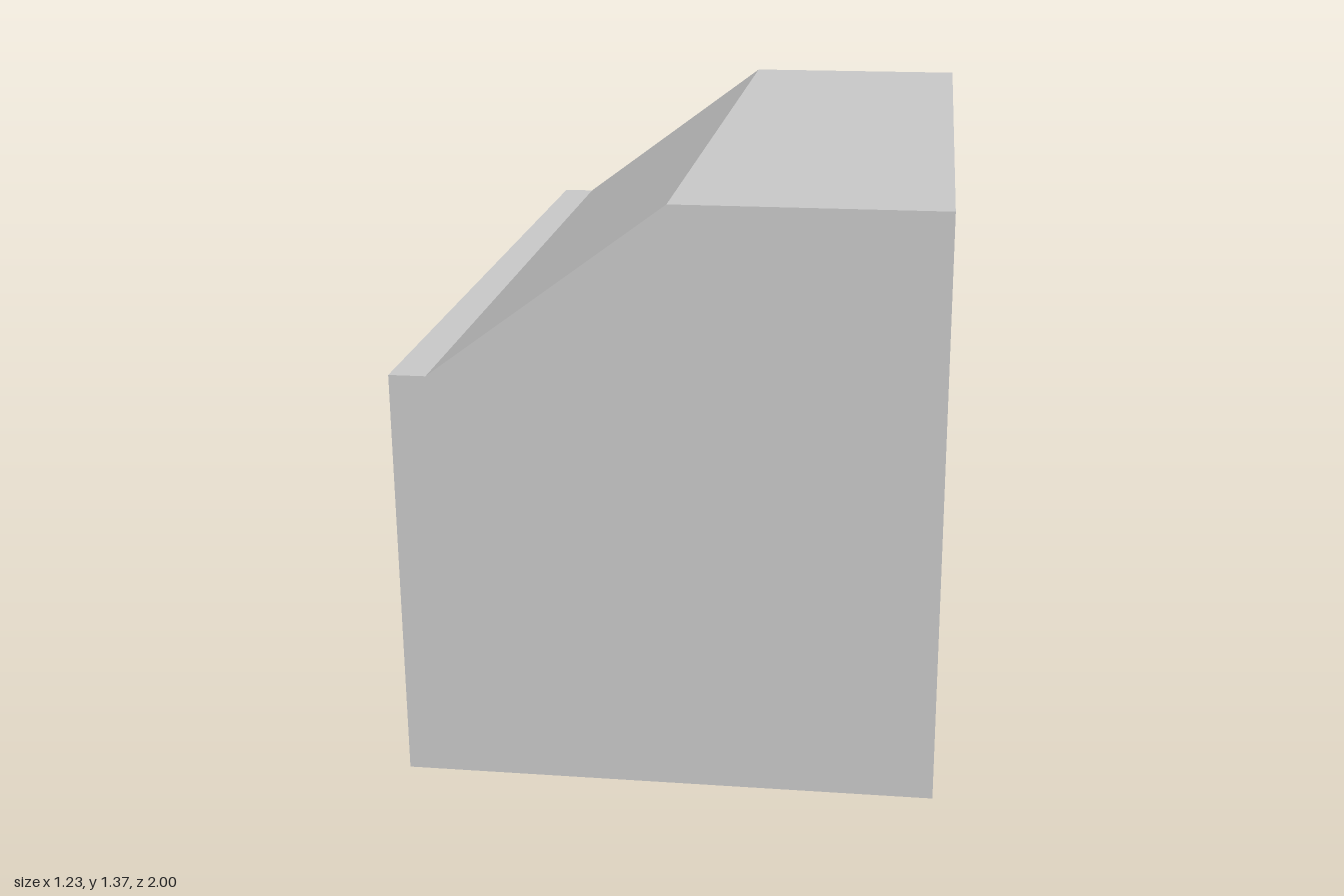
import * as THREE from 'three';

// Flat-shaded mesh from planar polygons, each wound counter-clockwise from outside
function polygonMesh(name, polygons, material) {
  const pos = [];
  for (const p of polygons) {
    for (let i = 1; i < p.length - 1; i++) pos.push(...p[0], ...p[i], ...p[i + 1]);
  }
  const geometry = new THREE.BufferGeometry();
  geometry.setAttribute('position', new THREE.Float32BufferAttribute(pos, 3));
  geometry.computeVertexNormals();
  const mesh = new THREE.Mesh(geometry, material);
  mesh.name = name;
  return mesh;
}

// Rectangle facing +x
const rect = (x, y0, y1, zBack, zFront) => [
  [x, y0, zFront], [x, y0, zBack], [x, y1, zBack], [x, y1, zFront],
];

// Quads joining two rectangles, outer to inner
const band = (outer, inner) => outer.map((p, i) => {
  const j = (i + 1) % 4;
  return [p, outer[j], inner[j], inner[i]];
});

export function createModel() {
  const group = new THREE.Group();
  group.name = 'slopedCabinet';
  const material = new THREE.MeshStandardMaterial({ color: 0xcccccc, flatShading: true });

  const w = 0.613, h = 1.37, depth = 1;

  // Body: end profile from the bottom right corner, with ledge and sloped top
  const profile = [[w, 0], [w, h], [0.01, h], [-0.529, 0.971], [-w, 0.971], [-w, 0]];
  const front = profile.map(([x, y]) => [x, y, depth]);
  const back = profile.map(([x, y]) => [x, y, -depth]);
  const body = [front, [back[0], ...back.slice(1).reverse()]];
  for (let i = 1; i < profile.length; i++) { // the tall +x side is the panelled one
    const j = (i + 1) % profile.length;
    body.push([front[i], back[i], back[j], front[j]]);
  }
  group.add(polygonMesh('body', body, material));

  // Panelled side: flat frame, bevelled recess walls, recess floor
  const side = rect(w, 0, h, -depth, depth);
  const opening = rect(w, 0.198, 1.2, -0.715, 0.686);
  const floor = rect(w - 0.058, 0.257, 1.145, -0.6, 0.575);
  group.add(polygonMesh('sideFrame', band(side, opening), material));
  group.add(polygonMesh('recessWalls', band(opening, floor), material));
  group.add(polygonMesh('recessPanel', [floor], material));

  return group;
}
